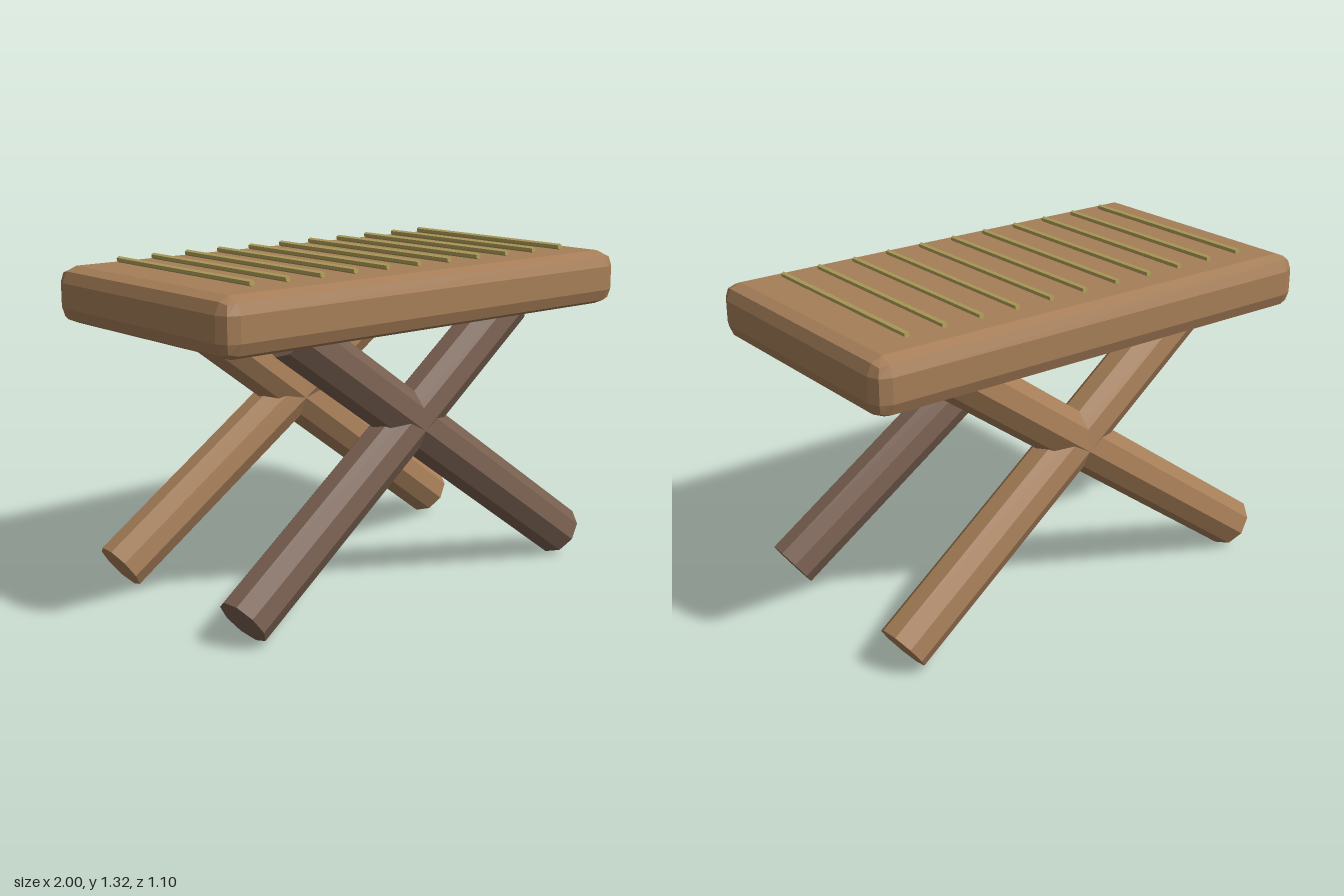
import * as THREE from 'three';
import { RoundedBoxGeometry } from 'three/addons/geometries/RoundedBoxGeometry.js';

const paint = (color) => new THREE.MeshStandardMaterial({ color, flatShading: true });
const lightWood = paint(0xa67e58);
const darkWood = paint(0x785f50);
const straw = paint(0xb5a35c);

// Nine-sided log from foot to top, with one ridge facing the ground
function makeLog(foot, top, radius, material) {
  const axis = top.clone().sub(foot);
  const length = axis.length();
  axis.normalize();
  const down = new THREE.Vector3(0, -1, 0).projectOnPlane(axis).normalize();
  const side = new THREE.Vector3().crossVectors(axis, down);
  const log = new THREE.Mesh(new THREE.CylinderGeometry(radius, radius, length, 9), material);
  log.quaternion.setFromRotationMatrix(new THREE.Matrix4().makeBasis(side, axis, down));
  log.position.copy(foot).add(top).multiplyScalar(0.5);
  return log;
}

export function createModel() {
  const model = new THREE.Group();
  model.name = 'crossLegStool';

  // Thick seat slab with bevelled edges
  const seat = new THREE.Mesh(new RoundedBoxGeometry(2, 0.22, 1.104, 1, 0.062), lightWood);
  seat.name = 'seat';
  seat.position.y = 1.185;
  model.add(seat);

  // Crossed pairs of legs, leaning inwards towards the seat
  for (const [name, z, material] of [['front', 1, darkWood], ['back', -1, lightWood]]) {
    const pair = new THREE.Group();
    pair.name = name + 'Legs';
    for (const x of [1, -1]) {
      const foot = new THREE.Vector3(0.842 * x, 0.09, 0.406 * z);
      const top = new THREE.Vector3(-0.56 * x, 1.105, 0.333 * z);
      const leg = makeLog(foot, top, 0.105, material);
      leg.name = name + (x > 0 ? 'Left' : 'Right') + 'Leg';
      pair.add(leg);
    }
    model.add(pair);
  }

  // Row of thin rods over the seat
  const rods = new THREE.Group();
  rods.name = 'seatRods';
  const rodGeometry = new THREE.CylinderGeometry(0.012, 0.012, 0.84, 6).rotateX(Math.PI / 2);
  for (let i = -5; i <= 5; i++) {
    const rod = new THREE.Mesh(rodGeometry, straw);
    rod.name = 'seatRod';
    rod.position.set(i * 0.158, 1.314, 0);
    rods.add(rod);
  }
  model.add(rods);

  return model;
}
